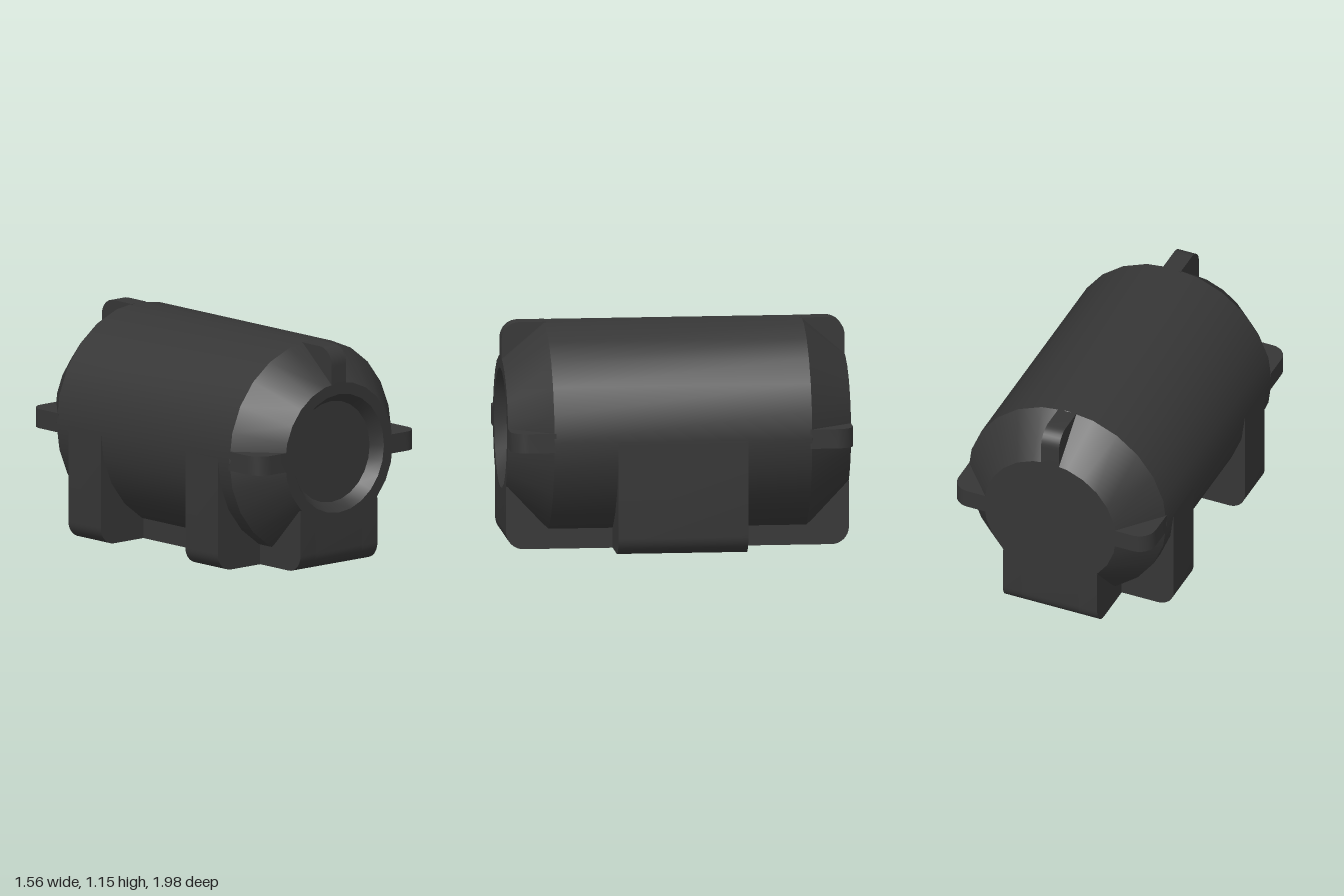
import * as THREE from 'three';
import { toCreasedNormals } from 'three/addons/utils/BufferGeometryUtils.js';

const R = 0.557;      // body radius
const CY = 0.592;     // axis height
const L = 0.885;      // half length
const CONE = 0.665;   // where the end chamfers start
const END = 0.37;     // end face radius
const KEEL = 0.265;   // keel half width
const ROUND = 0.09;   // corner rounding

export function createModel() {
  const darkGrey = new THREE.MeshStandardMaterial({ color: 0x363636 });
  darkGrey.name = 'darkGrey';
  const root = new THREE.Group();
  root.name = 'casing';

  const add = (name, geometry) => {
    const mesh = new THREE.Mesh(toCreasedNormals(geometry, 0.55), darkGrey);
    mesh.name = name;
    root.add(mesh);
    return mesh;
  };

  // Extrusion centred on its depth
  const slab = (shape, depth) => {
    const g = new THREE.ExtrudeGeometry(shape, { depth, bevelEnabled: false, curveSegments: 4 });
    return g.translate(0, 0, -depth / 2);
  };

  // Drum with chamfered ends and a recessed front cover
  const profile = [
    [0, -L], [END, -L], [R, -CONE], [R, CONE], [END, L],
    [0.31, L], [0.265, L - 0.06], [0, L - 0.06],
  ].map(([x, y]) => new THREE.Vector2(x, y));
  add('body', new THREE.LatheGeometry(profile, 24).rotateX(Math.PI / 2)).position.y = CY;

  // Rounded ribs over the chamfers: both sides and the top, at each end
  const fin = new THREE.Shape();
  const finR = R - 0.003;
  fin.moveTo(0.335, CONE - 0.01);
  fin.lineTo(finR, CONE - 0.01);
  fin.lineTo(finR, L - ROUND);
  fin.absarc(finR - ROUND, L - ROUND, ROUND, 0, Math.PI / 2, false);
  fin.lineTo(0.335, L);
  for (const end of [0, 1]) {
    for (let i = 0; i < 3; i++) {
      const g = slab(fin, 0.1).rotateX(Math.PI / 2);
      if (end) g.rotateX(Math.PI);
      g.rotateZ(i * Math.PI / 2);
      add(end ? 'backRib' : 'frontRib', g).position.y = CY;
    }
  }

  // Keel: centre strip plus taller cheeks that meet the round end faces
  const keelShape = (top) => {
    const s = new THREE.Shape();
    s.moveTo(-L, top);
    s.lineTo(-L, ROUND);
    s.absarc(-L + ROUND, ROUND, ROUND, Math.PI, Math.PI * 1.5, false);
    s.lineTo(L - ROUND, 0);
    s.absarc(L - ROUND, ROUND, ROUND, -Math.PI / 2, 0, false);
    s.lineTo(L, top);
    return s;
  };
  const inner = 0.16;
  add('keel', slab(keelShape(0.27), inner * 2).rotateY(-Math.PI / 2));
  for (const side of [-1, 1]) {
    const cheek = add('keelCheek', slab(keelShape(0.325), KEEL - inner).rotateY(-Math.PI / 2));
    cheek.position.x = side * (KEEL + inner) / 2;
  }

  // Feet: one long block on the left, two short ones on the right
  const foot = new THREE.Shape();
  foot.moveTo(0.2, 0);
  foot.lineTo(R - ROUND, 0);
  foot.absarc(R - ROUND, ROUND, ROUND, -Math.PI / 2, 0, false);
  foot.lineTo(R, CY);
  foot.lineTo(0.2, CY);
  add('leftFoot', slab(foot, 0.67));
  for (const z of [-0.45, 0.45]) {
    add('rightFoot', slab(foot, 0.25).rotateY(Math.PI)).position.z = z;
  }

  root.rotation.y = THREE.MathUtils.degToRad(18.5);
  const model = new THREE.Group();
  model.name = 'model';
  model.add(root);
  return model;
}
